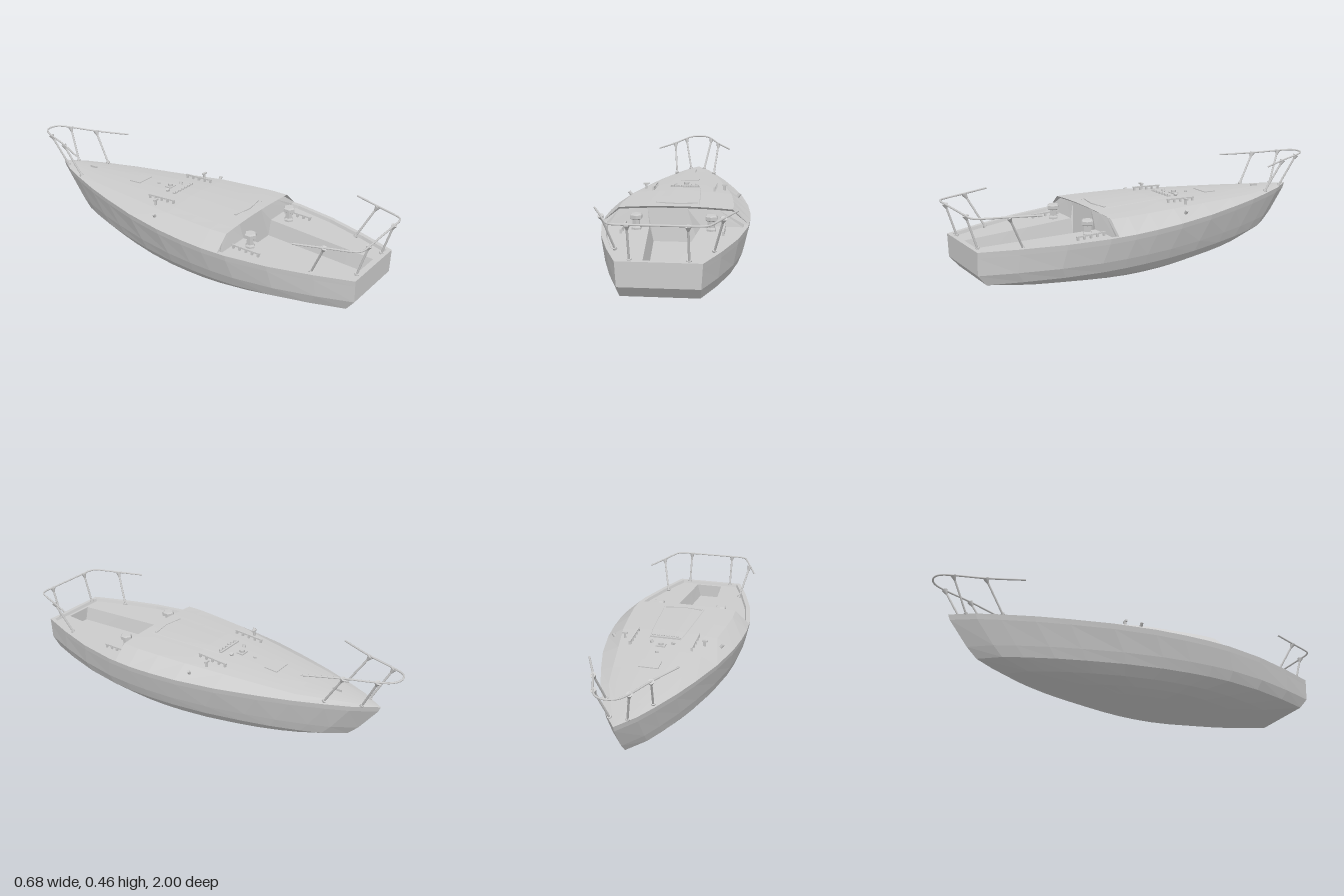
import * as THREE from 'three';

const grey = new THREE.MeshStandardMaterial({ color: 0xcccccc, flatShading: true, side: THREE.DoubleSide });
const smooth = new THREE.MeshStandardMaterial({ color: 0xcccccc });
const V = (x, y, z) => new THREE.Vector3(x, y, z);
const lerp = THREE.MathUtils.lerp;

// piecewise-linear lookup in [key, value] pairs
function table(pairs, k) {
  if (k <= pairs[0][0]) return pairs[0][1];
  for (let i = 1; i < pairs.length; i++) {
    const [a, va] = pairs[i - 1], [b, vb] = pairs[i];
    if (k <= b) return lerp(va, vb, (k - a) / (b - a));
  }
  return pairs[pairs.length - 1][1];
}

// lines of the boat, by z (bow at -z)
const PLAN = [[-0.91, 0], [-0.8, 0.07], [-0.7, 0.115], [-0.55, 0.175], [-0.4, 0.225], [-0.2, 0.283],
  [0, 0.322], [0.15, 0.337], [0.27, 0.341], [0.4, 0.335], [0.6, 0.3], [0.8, 0.24], [0.97, 0.177]];
const plan = z => table(PLAN, z);
const sheer = z => table([[-0.91, 0.29], [0.25, 0.262], [0.97, 0.252]], z);
const roofHalf = z => table([[-0.91, 0], [-0.54, 0.14], [0, 0.24], [0.25, 0.265], [0.36, 0.262]], z);
const roofEdge = z => table([[-0.91, 0.29], [-0.54, 0.297], [0, 0.322], [0.36, 0.328]], z);
const roofTop = z => table([[-0.91, 0.29], [-0.75, 0.296], [-0.2, 0.326], [0, 0.335], [0.36, 0.338]], z);
const roofY = (x, z) => lerp(roofTop(z), roofEdge(z), Math.min(1, (x / (roofHalf(z) || 1)) ** 2));

function add(group, name, geometry, material = grey) {
  const mesh = new THREE.Mesh(geometry, material);
  mesh.name = name;
  group.add(mesh);
  return mesh;
}

// surface through rows of points
function loft(rows) {
  const n = rows[0].length, index = [];
  for (let r = 0; r + 1 < rows.length; r++)
    for (let i = 0; i + 1 < n; i++) {
      const a = r * n + i, b = a + n;
      index.push(a, b, a + 1, a + 1, b, b + 1);
    }
  const g = new THREE.BufferGeometry().setFromPoints(rows.flat());
  g.setIndex(index);
  g.computeVertexNormals();
  return g;
}
const mirrored = half => [...half, ...half.map(p => V(-p.x, p.y, p.z)).reverse()];

function box(group, name, w, h, d, x, y, z) {
  const m = add(group, name, new THREE.BoxGeometry(w, h, d));
  m.position.set(x, y, z);
  return m;
}
function rod(group, name, a, b, r0, r1 = r0, sides = 8) {
  const m = add(group, name, new THREE.CylinderGeometry(r1, r0, a.distanceTo(b), sides), smooth);
  m.position.copy(a).lerp(b, 0.5);
  m.quaternion.setFromUnitVectors(V(0, 1, 0), b.clone().sub(a).normalize());
  return m;
}

// hull: closed waterlines [y, bow z, stern z, half beam, fullness]
function hullGeometry() {
  const levels = [[null, -0.91, 0.97, 0.341, 1], [0.235, -0.9, 0.97, 0.337, 1], [0.145, -0.81, 0.97, 0.315, 0.94],
    [0.095, -0.76, 0.93, 0.295, 0.9], [0.05, -0.61, 0.71, 0.25, 0.82], [0.023, -0.37, 0.51, 0.2, 0.65],
    [0.006, -0.2, 0.34, 0.14, 0.5], [0, -0.1, 0.25, 0.08, 0.4]];
  const rows = levels.map(([y, zb, zs, w, full]) => mirrored(PLAN.map(([pz, pw]) => {
    const z = lerp(zb, zs, (pz + 0.91) / 1.88);
    const top = sheer(pz);
    const h = y === null ? top : y === 0.235 ? top - 0.026 : y;
    return V(w * Math.pow(pw / 0.341, full), h, z);
  })));
  rows.push(rows[rows.length - 1].map(p => V(0, p.y, p.z)));
  return loft(rows);
}

const WELL_FLOOR = 0.17;
const seatY = z => sheer(z) - 0.014;
const roofRow = z => mirrored([V(plan(z), sheer(z), z),
  ...[1, 0.75, 0.5, 0.2].map(f => V(roofHalf(z) * f, roofY(roofHalf(z) * f, z), z))]);
function cockpitRow(z, well = WELL_FLOOR, seat = seatY(z)) {
  const p = plan(z), w = lerp(0.12, 0.07, (z - 0.36) / 0.57);
  return mirrored([V(p, sheer(z), z), V(p - 0.022, sheer(z), z), V(p - 0.028, seat, z),
    V(w, seat, z), V(w - 0.018, Math.min(well, seat), z)]);
}

// guard rail with posts that flare where they meet the tube
function guardRail(name, path, posts) {
  const g = new THREE.Group();
  g.name = name;
  const curve = new THREE.CatmullRomCurve3(path, false, 'centripetal');
  add(g, 'railTube', new THREE.TubeGeometry(curve, 64, 0.0045, 8), smooth);
  for (const [foot, head] of posts)
    for (const s of [1, -1]) {
      const a = V(foot[0] * s, foot[1], foot[2]), b = V(head[0] * s, head[1], head[2]);
      rod(g, 'post', a, b, 0.005);
      rod(g, 'postFlare', a.clone().lerp(b, 0.86), b, 0.005, 0.014);
      rod(g, 'postFoot', a, a.clone().lerp(b, 0.05), 0.01);
    }
  return g;
}
const bothSides = half => [...half, ...half.filter(p => p.x > 0).map(p => V(-p.x, p.y, p.z)).reverse()];

// long bar on small legs
function grabRail(group, x, z0, z1, yAt) {
  const zm = (z0 + z1) / 2;
  const bar = box(group, 'grabRail', 0.008, 0.007, z1 - z0, x, (yAt(z0) + yAt(z1)) / 2 + 0.016, zm);
  bar.rotation.x = -Math.atan2(yAt(z1) - yAt(z0), z1 - z0);
  for (let i = 0; i < 5; i++) {
    const z = lerp(z0 + 0.008, z1 - 0.008, i / 4);
    box(group, 'grabRailLeg', 0.011, 0.018, 0.009, x, yAt(z) + 0.007, z);
  }
}

export function createModel() {
  const boat = new THREE.Group();
  boat.name = 'sailboat';
  add(boat, 'hull', hullGeometry());

  // cabin roof, foredeck and aft bulkhead with overhanging lip
  const stations = [...PLAN.map(p => p[0]).filter(z => z < 0.36), 0.36];
  add(boat, 'cabinAndForedeck', loft(stations.map(roofRow)));
  const top = roofRow(0.36);
  const lip = top.map((p, i) => (i === 0 || i === 9) ? p.clone() : V(p.x, p.y - 0.012, 0.342));
  add(boat, 'cabinBulkhead', loft([top, lip, cockpitRow(0.36)]));

  // cockpit seats, foot well, stern deck
  const rows = [0.36, 0.4, 0.5, 0.6, 0.7, 0.8, 0.93].map(z => cockpitRow(z));
  rows.push(cockpitRow(0.931, 1), cockpitRow(0.945, 1), cockpitRow(0.95, 1, sheer(0.95)), cockpitRow(0.97, 1, sheer(0.97)));
  add(boat, 'cockpit', loft(rows));

  // keel slot under the hull
  box(boat, 'keelSlot', 0.024, 0.002, 0.28, 0, 0.001, 0.06);

  // stern and bow rails
  boat.add(guardRail('sternRail', bothSides([V(0.3, 0.408, 0.72), V(0.255, 0.408, 0.84), V(0.215, 0.408, 0.95),
    V(0.2, 0.408, 0.98), V(0.175, 0.408, 0.993), V(0.12, 0.408, 0.995), V(0, 0.408, 0.995)]),
  [[[0.12, 0.25, 0.945], [0.12, 0.407, 0.992]], [[0.207, 0.245, 0.77], [0.25, 0.407, 0.85]]]));
  boat.add(guardRail('bowRail', bothSides([V(0.2, 0.445, -0.61), V(0.125, 0.45, -0.78), V(0.08, 0.455, -0.91),
    V(0.055, 0.458, -0.965), V(0.03, 0.46, -0.988), V(0, 0.46, -0.995)]),
  [[[0.105, 0.29, -0.68], [0.125, 0.449, -0.78]], [[0.038, 0.288, -0.835], [0.075, 0.455, -0.92]]]));

  // roof hatch, sliding companionway cover and its end trim
  box(boat, 'foreHatch', 0.095, 0.008, 0.068, 0, roofY(0, -0.36), -0.36).rotation.x = -0.055;
  const cover = [-0.09, 0, 0.15, 0.31].map((z, i) => {
    const w = 0.075 + 0.01 * i, y = Math.max(roofTop(z) + 0.003, 0.334);
    return mirrored([V(w + 0.006, roofY(w, z) - 0.004, z), V(w, y - 0.002, z), V(w * 0.5, y, z)]);
  });
  add(boat, 'companionwayCover', loft(cover));
  for (const s of [1, -1]) box(boat, 'coverTrim', 0.1, 0.005, 0.012, s * 0.048, 0.341, 0.302).rotation.y = s * 0.15;

  // mast step, sheave, line organiser and foredeck eye
  const mid = roofY(0, -0.16);
  box(boat, 'mastStepPlate', 0.045, 0.006, 0.035, 0, mid + 0.002, -0.165);
  rod(boat, 'mastStep', V(0, mid, -0.165), V(0, mid + 0.016, -0.165), 0.013);
  rod(boat, 'deckSheave', V(0, roofY(0, -0.24), -0.24), V(0, roofY(0, -0.24) + 0.008, -0.24), 0.008);
  box(boat, 'lineOrganiser', 0.15, 0.007, 0.014, 0, 0.338, -0.088);
  for (let i = 0; i < 6; i++)
    rod(boat, 'organiserSheave', V(-0.06 + i * 0.024, 0.338, -0.08), V(-0.06 + i * 0.024, 0.346, -0.08), 0.008);
  box(boat, 'foredeckEye', 0.005, 0.012, 0.045, 0, roofY(0, -0.69) + 0.004, -0.69);

  for (const s of [1, -1]) {
    // rails on the roof and the side decks
    grabRail(boat, s * 0.153, -0.18, -0.02, z => roofY(0.153, z));
    grabRail(boat, s * 0.228, 0.37, 0.52, z => seatY(z));

    // roof cleat, mast-base block and side fitting
    const y = roofY(0.2, -0.1);
    rod(boat, 'cleatStem', V(s * 0.2, y - 0.004, -0.1), V(s * 0.2, y + 0.024, -0.1), 0.006);
    box(boat, 'cleatHorn', 0.028, 0.008, 0.012, s * 0.2, y + 0.026, -0.1);
    rod(boat, 'turningBlock', V(s * 0.05, mid, -0.14), V(s * 0.056, mid + 0.012, -0.14), 0.009);
    rod(boat, 'sideFitting', V(s * 0.268, 0.298, -0.05), V(s * 0.28, 0.314, -0.05), 0.008);

    // winch: flared drum with a wide cap
    const profile = [[0, 0], [0.024, 0], [0.024, 0.012], [0.018, 0.02], [0.018, 0.048], [0.03, 0.054], [0.03, 0.07], [0.024, 0.076], [0, 0.076]];
    const winch = add(boat, 'winch', new THREE.LatheGeometry(profile.map(p => new THREE.Vector2(...p)), 6));
    winch.position.set(s * 0.17, seatY(0.43) - 0.004, 0.43);
  }
  return boat;
}
